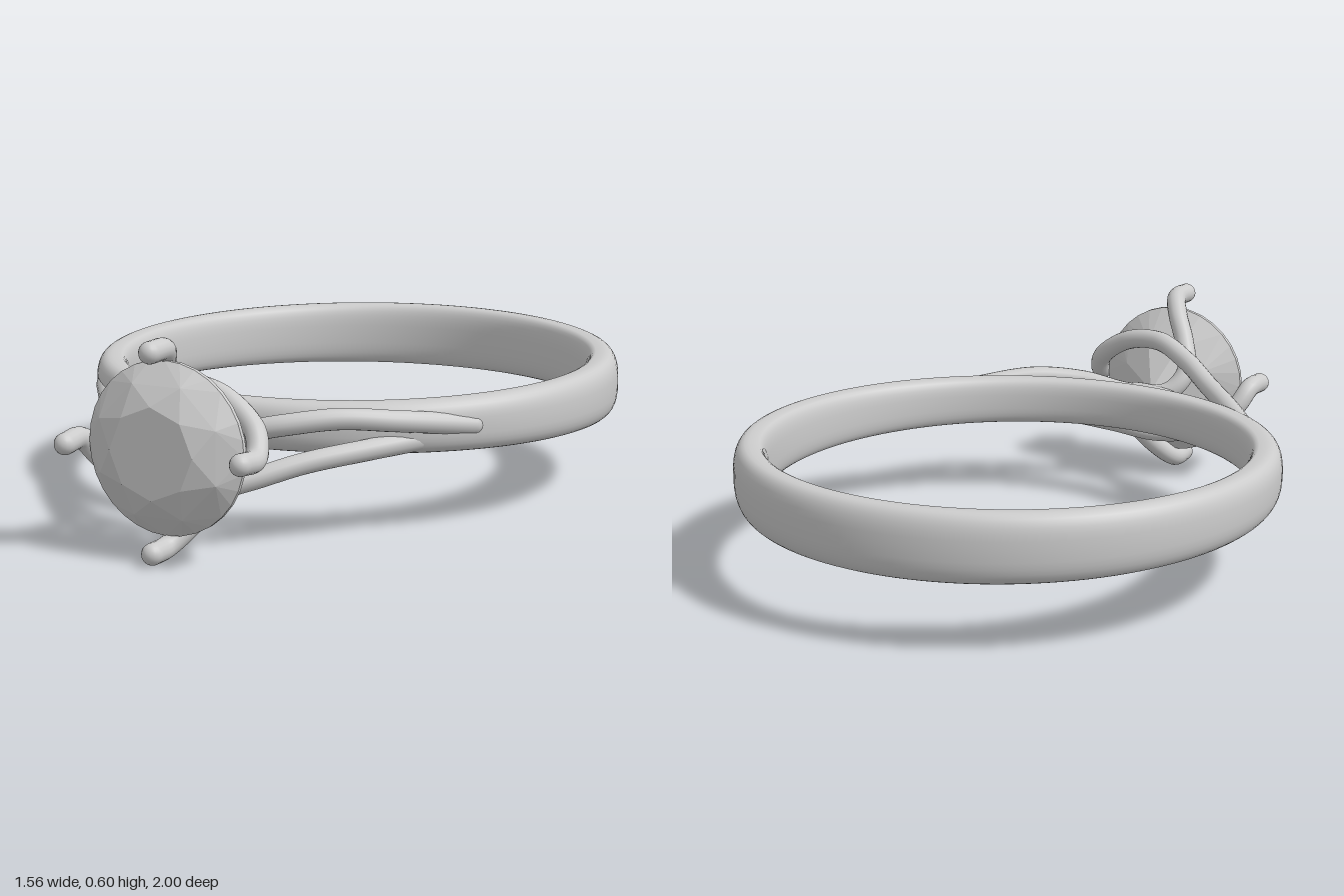
import * as THREE from 'three';
import { ConvexGeometry } from 'three/addons/geometries/ConvexGeometry.js';

const MID = 0.3; // height of the ring's middle plane
const V = (x, y, z) => new THREE.Vector3(x, y, z);
const metal = new THREE.MeshStandardMaterial({ color: 0xcccccc });
const gem = new THREE.MeshStandardMaterial({ color: 0xcccccc, flatShading: true });

// Band: rounded cross-section swept round a circle, slimmer towards the front
function bandGeometry() {
  const around = 128, across = 32, pos = [], index = [];
  const soft = (v, p) => Math.sign(v) * Math.abs(v) ** p;
  for (let i = 0; i < around; i++) {
    const a = (i / around) * Math.PI * 2;
    for (let j = 0; j < across; j++) {
      const b = (j / across) * Math.PI * 2, c = Math.cos(b);
      const r = 0.7325 + 0.0475 * soft(c, c < 0 ? 0.5 : 0.8);
      const z = -0.22 + r * Math.cos(a);
      const half = 0.08 - 0.02 * z;
      pos.push(r * Math.sin(a), MID + half * soft(Math.sin(b), 0.75), z);
      const i2 = (i + 1) % around, j2 = (j + 1) % across;
      const p = i * across + j, q = i2 * across + j, s = i2 * across + j2, t = i * across + j2;
      index.push(p, q, s, p, s, t);
    }
  }
  const g = new THREE.BufferGeometry();
  g.setAttribute('position', new THREE.Float32BufferAttribute(pos, 3));
  g.setIndex(index);
  g.computeVertexNormals();
  return g;
}

// Faceted round stone: table, crown, girdle, pavilion and culet
function stoneGeometry() {
  const points = [V(0, 0, 0.715)];
  const ring = (n, r, z, turn = 0) => {
    for (let i = 0; i < n; i++) {
      const a = ((i + turn) / n) * Math.PI * 2;
      points.push(V(r * Math.cos(a), r * Math.sin(a), z));
    }
  };
  ring(8, 0.125, 0.975);
  ring(8, 0.19, 0.942, 0.5);
  ring(32, 0.235, 0.898);
  ring(32, 0.235, 0.885);
  ring(8, 0.14, 0.805, 0.5);
  return new ConvexGeometry(points);
}

// Wire strand from a claw tip to the shoulder, with round ends
function strand(name, path) {
  const group = new THREE.Group();
  group.name = name;
  const curve = new THREE.CatmullRomCurve3(path.map((p) => V(...p)));
  const wire = new THREE.Mesh(new THREE.TubeGeometry(curve, 96, 0.03, 16), metal);
  wire.name = 'wire';
  group.add(wire);
  for (const end of [path[0], path[path.length - 1]]) {
    const ball = new THREE.Mesh(new THREE.SphereGeometry(0.03, 16, 12), metal);
    ball.name = 'roundEnd';
    ball.position.set(...end);
    group.add(ball);
  }
  return group;
}

export function createModel() {
  const model = new THREE.Group();
  model.name = 'ring';

  const band = new THREE.Mesh(bandGeometry(), metal);
  band.name = 'band';
  model.add(band);

  const stone = new THREE.Mesh(stoneGeometry(), gem);
  stone.name = 'stone';
  stone.position.y = MID;
  model.add(stone);

  // Side claw passes over the setting to the opposite shoulder
  const sidePath = [
    [0.265, 0, 0.97], [0.265, 0, 0.89], [0.235, 0.06, 0.84], [0.13, 0.13, 0.805], [0, 0.15, 0.77],
    [-0.13, 0.115, 0.7], [-0.25, 0.075, 0.6], [-0.38, 0.05, 0.47], [-0.52, 0.03, 0.3],
  ];
  // Lower claw curls behind the stone, then follows the shoulder
  const lowPath = [
    [0, -0.267, 0.97], [0, -0.265, 0.9], [0.03, -0.225, 0.845], [0.08, -0.15, 0.79], [0.11, -0.07, 0.74],
    [0.07, -0.01, 0.695], [-0.05, 0, 0.667], [-0.2, -0.03, 0.63], [-0.33, -0.045, 0.55],
    [-0.45, -0.03, 0.44], [-0.59, 0, 0.255],
  ];
  // The other two claws are the same strands turned half round the z axis
  const names = [['leftClaw', 'bottomClaw'], ['rightClaw', 'topClaw']];
  names.forEach(([side, low], i) => {
    const pair = new THREE.Group();
    pair.name = i ? 'turnedClawPair' : 'clawPair';
    pair.add(strand(side, sidePath), strand(low, lowPath));
    pair.position.y = MID;
    pair.rotation.z = i * Math.PI;
    model.add(pair);
  });
  return model;
}
